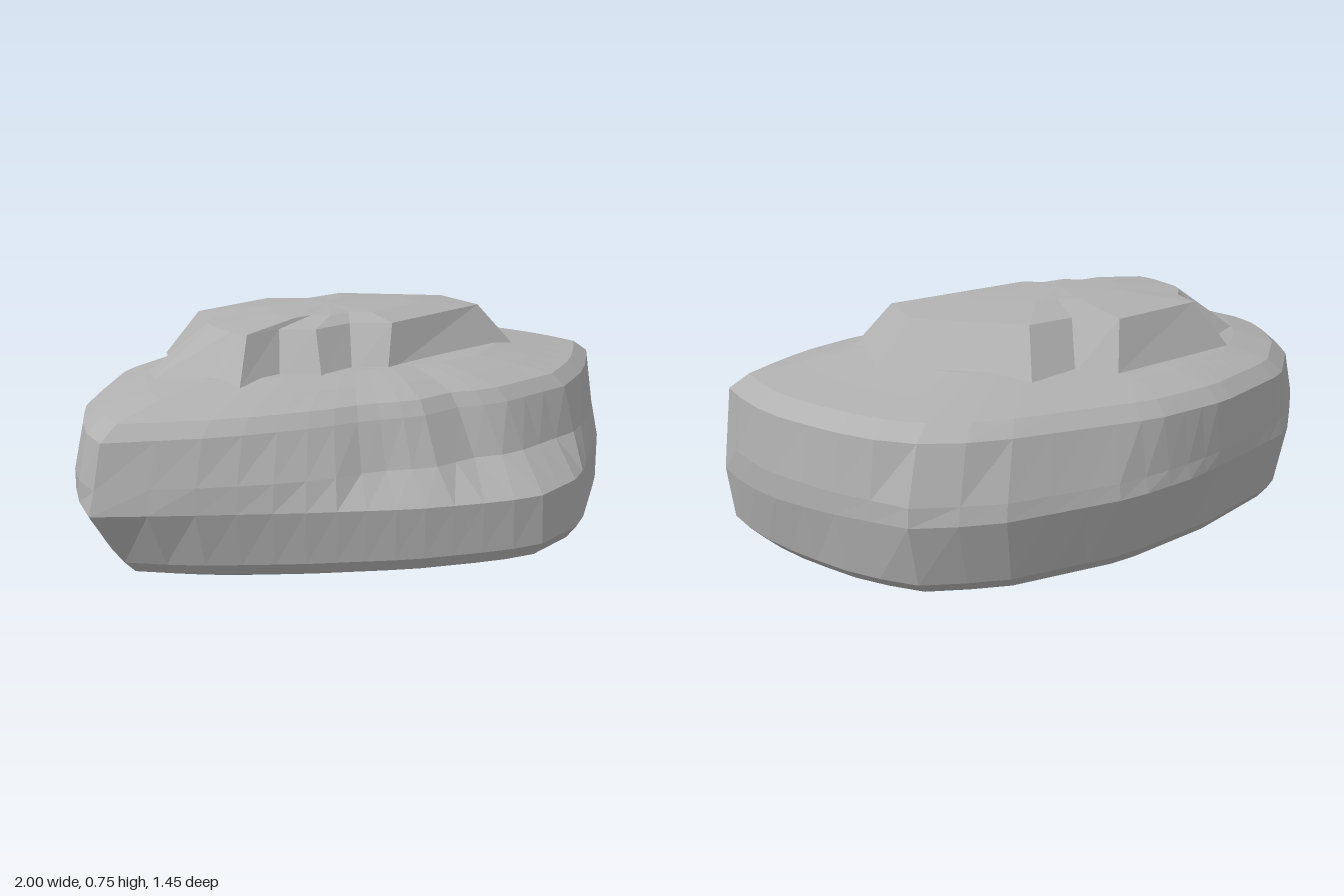
import * as THREE from 'three';

const N = 52; // points round each body loop
const HUB = [0, -0.1]; // centre the outlines are sampled from

// Outlines seen from above as [x, z]: left tip, back, right end, front.
const ledge = [[-1, -.1], [-.9, -.27], [-.7, -.47], [-.42, -.65], [-.03, -.71], [.15, -.73], [.38, -.72], [.75, -.6],
  [.92, -.47], [.98, -.2], [1, 0], [.98, .2], [.92, .4], [.7, .53], [.23, .71], [0, .71], [-.12, .66], [-.35, .51],
  [-.6, .29], [-.85, .05]];
const rim = [[-.88, -.1], [-.8, -.27], [-.66, -.45], [-.4, -.62], [0, -.68], [.36, -.68], [.72, -.57], [.9, -.42],
  [.95, -.2], [.96, 0], [.95, .2], [.9, .4], [.7, .53], [.23, .72], [0, .715], [-.12, .66], [-.35, .5], [-.58, .28],
  [-.78, .06]];
const wallFoot = [[-.98, -.1], [-.91, -.26], [-.7, -.47], [-.42, -.64], [-.03, -.71], [.2, -.72], [.4, -.7], [.75, -.59],
  [.92, -.45], [.98, -.2], [1, 0], [.98, .2], [.91, .4], [.62, .54], [.38, .61], [.03, .59], [-.08, .52], [-.24, .49],
  [-.38, .37], [-.5, .33], [-.63, .24], [-.76, .13]];
const wallTop = [[-.95, -.1], [-.88, -.25], [-.69, -.45], [-.42, -.62], [-.03, -.7], [.25, -.69], [.38, -.65], [.74, -.54],
  [.91, -.4], [.96, -.2], [.98, 0], [.96, .2], [.9, .38], [.6, .52], [.36, .58], [.03, .53], [-.05, .46], [-.22, .43],
  [-.35, .33], [-.47, .28], [-.6, .2], [-.72, .12]];

// Sample an outline at N even angles by casting rays from the hub.
function sample(outline) {
  return Array.from({ length: N }, (_, i) => {
    const a = (i / N) * Math.PI * 2, dx = -Math.cos(a), dz = -Math.sin(a);
    let best = 0;
    outline.forEach(([px, pz], k) => {
      const [qx, qz] = outline[(k + 1) % outline.length];
      const ex = qx - px, ez = qz - pz, ox = px - HUB[0], oz = pz - HUB[1];
      const det = dx * ez - dz * ex;
      if (Math.abs(det) < 1e-9) return;
      const t = (ox * ez - oz * ex) / det, s = (ox * dz - oz * dx) / det;
      if (s >= -1e-6 && s <= 1 + 1e-6) best = Math.max(best, t);
    });
    return [HUB[0] + dx * best, HUB[1] + dz * best];
  });
}

// Scale an outline about the origin and give it a height.
const loop = (pts, scale, height) => pts.map(([x, z]) => {
  const y = typeof height === 'function' ? height(x, z) : height;
  return [x * scale, y, z * scale];
});

// Skin loops from low to high, with optional centre points closing the ends.
function skin(loops, bottom, top) {
  const pos = [], tri = (...p) => p.forEach((v) => pos.push(...v));
  const n = loops[0].length;
  for (let i = 0; i < n; i++) {
    const j = (i + 1) % n;
    for (let k = 0; k + 1 < loops.length; k++) {
      const lo = loops[k], hi = loops[k + 1];
      tri(lo[i], hi[i], lo[j]);
      tri(lo[j], hi[i], hi[j]);
    }
    if (bottom) tri(loops[0][j], bottom, loops[0][i]);
    const last = loops[loops.length - 1];
    if (top) tri(last[i], top, last[j]);
  }
  const g = new THREE.BufferGeometry();
  g.setAttribute('position', new THREE.Float32BufferAttribute(pos, 3));
  g.computeVertexNormals();
  return g;
}

export function createModel() {
  const model = new THREE.Group();
  model.name = 'layeredRock';
  const stone = new THREE.MeshStandardMaterial({ color: 0xb0b0b0, flatShading: true });
  stone.name = 'grey stone';
  const add = (name, geometry) => {
    const mesh = new THREE.Mesh(geometry, stone);
    mesh.name = name;
    model.add(mesh);
  };

  // Main stone: shallow underside, lower wall, ledge, upper wall and domed top
  const r = sample(rim), l = sample(ledge), f = sample(wallFoot), w = sample(wallTop);
  add('body', skin([
    loop(r, .44, 0),
    loop(r, .85, (x, z) => .065 - z * .015),
    loop(r, .96, (x, z) => .095 - z * .025),
    loop(r, 1, (x, z) => .13 - z * .02),
    loop(l, 1, (x, z) => .29 - z * .04),
    loop(f, 1, .36),
    loop(w, 1, (x) => .5 + x * .015),
    loop(w, .94, (x) => .54 + x * .012),
    loop(w, .78, .572),
    loop(w, .6, .6),
  ], [0, 0, 0], [0, .61, -.05]));

  // Raised slab with a stepped edge: matching foot and top corners
  const foot = [[-.56, -.06], [-.6, -.25], [-.53, -.34], [-.39, -.39], [-.3, -.5], [.2, -.5], [.28, -.41], [.44, -.4],
    [.66, 0], [.51, .3], [-.13, .25], [-.2, .17], [-.33, .16], [-.4, .06], [-.55, .04]];
  const brow = [[-.45, -.08], [-.4, -.21], [-.37, -.25], [-.29, -.31], [-.23, -.42], [.12, -.43], [.2, -.32], [.36, -.31],
    [.53, 0], [.43, .21], [-.04, .2], [-.12, .1], [-.27, .09], [-.33, 0], [-.46, -.01]];
  add('topSlab', skin([
    loop(foot, 1, .585),
    loop(brow, 1, .718),
    loop(brow, .55, .74),
  ], null, [0, .75, -.08]));

  return model;
}
